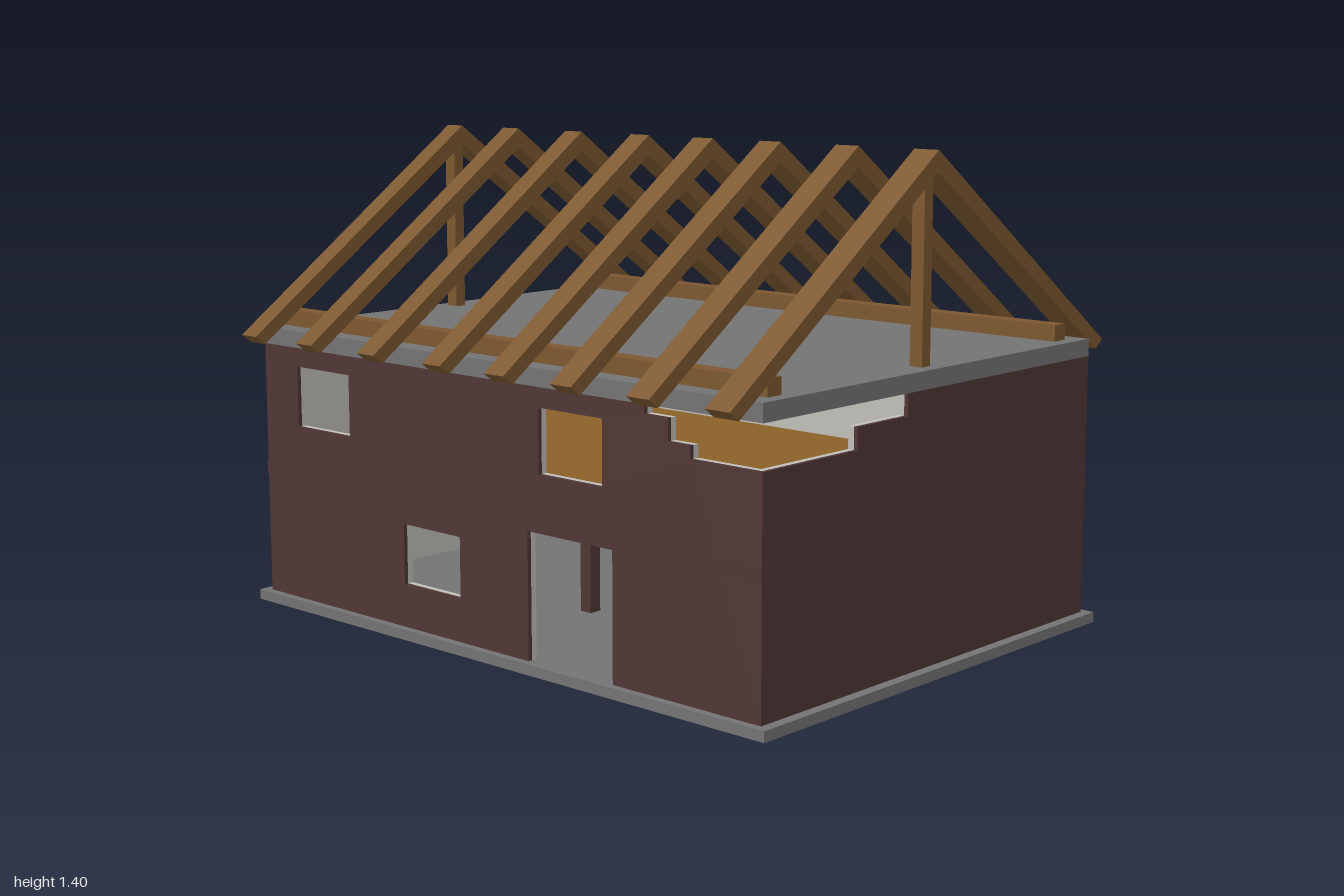
import * as THREE from 'three';

const mat = (name, color, side = THREE.FrontSide) => {
  const m = new THREE.MeshStandardMaterial({ color, side });
  m.name = name;
  return m;
};

export function createModel() {
  const house = new THREE.Group();
  house.name = 'house';
  const brick = mat('brick', 0x503636);
  const plaster = mat('plaster', 0xc0beb9);
  const concrete = mat('concrete', 0x737373);
  const timber = mat('timber', 0x7d5830);
  const boards = mat('floorboards', 0x8a6029);

  const add = (name, geo, material) => {
    const mesh = new THREE.Mesh(geo, material);
    mesh.name = name;
    house.add(mesh);
    return mesh;
  };
  // box given by its limits on each axis
  const box = (name, material, x0, x1, y0, y1, z0, z1) => {
    const mesh = add(name, new THREE.BoxGeometry(x1 - x0, y1 - y0, z1 - z0), material);
    mesh.position.set((x0 + x1) / 2, (y0 + y1) / 2, (z0 + z1) / 2);
    return mesh;
  };
  const shapeOf = (pts) => new THREE.Shape(pts.map((p) => new THREE.Vector2(p[0], p[1])));
  const extrude = (shape, depth) => new THREE.ExtrudeGeometry(shape, { depth, bevelEnabled: false });

  const X = 0.97, Z = 0.72, Y0 = 0.03, Y1 = 0.785;
  const SKIN = 0.012, LINING = 0.018;

  // slabs
  box('baseSlab', concrete, -1, 1, 0, Y0, -0.743, 0.743);
  box('ceilingSlab', concrete, -X, X, Y1, 0.835, -Z, Z);

  // front wall outline: doorway at the foot, broken steps at the upper left corner
  const frontShape = (hw) => {
    const s = shapeOf([
      [-hw, Y0], [0.15, Y0], [0.15, 0.39], [0.465, 0.39], [0.465, Y0], [hw, Y0],
      [hw, 0.665], [0.735, 0.665], [0.735, 0.70], [0.66, 0.70], [0.66, 0.76],
      [0.58, 0.76], [0.58, Y1], [-hw, Y1],
    ]);
    for (const [x0, x1, y0, y1] of [
      [-0.82, -0.585, 0.55, 0.73], [0.195, 0.43, 0.55, 0.73], [-0.355, -0.12, 0.155, 0.33],
    ]) {
      s.holes.push(shapeOf([[x0, y0], [x0, y1], [x1, y1], [x1, y0]]));
    }
    return s;
  };
  // broken side wall outline, u = -z
  const sideShape = (hw) => shapeOf([
    [-hw, Y0], [hw, Y0], [hw, Y1], [-0.14, Y1], [-0.14, 0.725],
    [-0.35, 0.725], [-0.35, 0.665], [-hw, 0.665],
  ]);

  // each wall is a brick skin over a plaster lining
  const layers = [
    ['Brick', brick, X, Z, SKIN],
    ['Lining', plaster, X - SKIN, Z - SKIN, LINING],
  ];
  for (const [label, material, x, z, t] of layers) {
    add('frontWall' + label, extrude(frontShape(x), t), material).position.z = z - t;
    box('backWall' + label, material, -x, x, Y0, Y1, -z, -z + t);
    box('rightWall' + label, material, -x, -x + t, Y0, Y1, -z + t, z - t);
    const side = add('leftWall' + label, extrude(sideShape(z - t), t), material);
    side.rotation.y = Math.PI / 2;
    side.position.x = x - t;
  }

  // upper storey floor with its slightly proud brick edge
  box('storeyBand', brick, -X - 0.001, X + 0.001, 0.391, 0.43, -Z - 0.003, Z + 0.003);
  box('upperFloor', boards, -0.94, 0.94, 0.43, 0.438, -0.69, 0.69);
  box('innerPost', brick, -0.11, -0.07, Y0, 0.391, 0.22, 0.26);

  // wall plates and end posts of the roof
  for (const s of [-1, 1]) {
    box('wallPlate', timber, -0.955, 0.93, 0.835, 0.882, s * 0.63 - 0.026, s * 0.63 + 0.026);
    box('ridgePost', timber, s * 0.91 - 0.02, s * 0.91 + 0.02, 0.835, 1.35, -0.008, 0.028);
  }

  // rafter pairs, u = -z
  const rafterShape = shapeOf([
    [-0.82, 0.822], [-0.787, 0.797], [0, 1.347], [0.787, 0.797], [0.82, 0.822], [0, 1.405],
  ]);
  [-0.915, -0.66, -0.388, -0.115, 0.132, 0.38, 0.65, 0.912].forEach((x, i) => {
    const w = 0.066 + i * 0.002;
    const rafter = add('rafterPair', extrude(rafterShape, w), timber);
    rafter.rotation.y = Math.PI / 2;
    rafter.position.x = x - w / 2;
  });

  return house;
}
